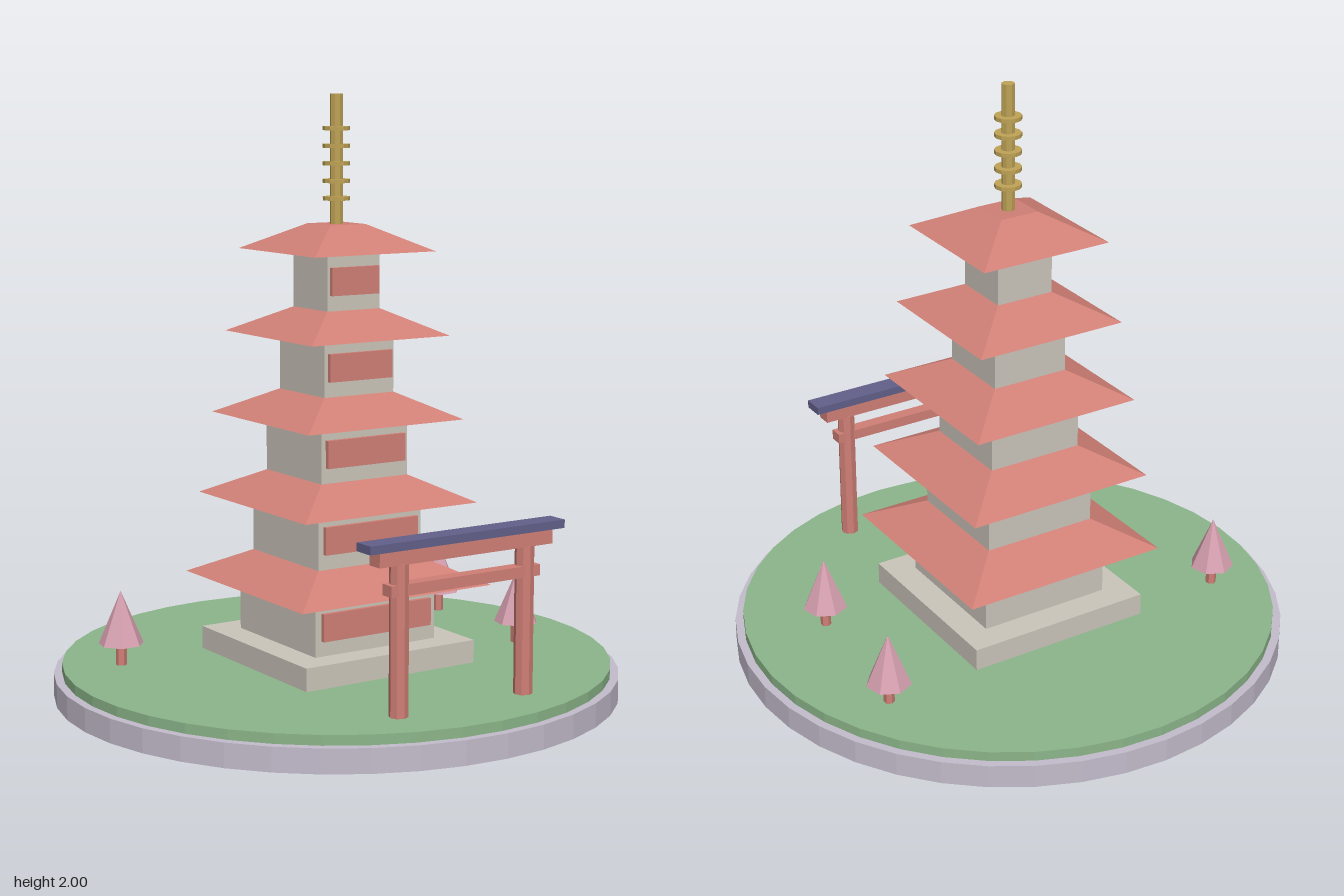
import * as THREE from 'three';

const mat = (name, color) => {
  const m = new THREE.MeshStandardMaterial({ color, flatShading: true });
  m.name = name;
  return m;
};

export function createModel() {
  const stone = mat('lavender stone', 0xc4bccc);
  const grass = mat('grass green', 0x8cb68a);
  const plaster = mat('warm plaster', 0xcbc6bb);
  const red = mat('temple red', 0xd08076);
  const gold = mat('spire gold', 0xbfa356);
  const slate = mat('slate blue', 0x62608a);
  const blossom = mat('blossom pink', 0xd6a0b0);

  const model = new THREE.Group();
  model.name = 'pagodaGarden';

  // All helpers place a part by its bottom height
  const add = (parent, name, geometry, material, x, y, z) => {
    const mesh = new THREE.Mesh(geometry, material);
    mesh.name = name;
    mesh.position.set(x, y, z);
    parent.add(mesh);
    return mesh;
  };
  const box = (parent, name, material, w, h, d, x, y, z) =>
    add(parent, name, new THREE.BoxGeometry(w, h, d), material, x, y + h / 2, z);
  const drum = (parent, name, material, rTop, rBottom, h, sides, x, y, z) =>
    add(parent, name, new THREE.CylinderGeometry(rTop, rBottom, h, sides), material, x, y + h / 2, z);
  const group = (name) => {
    const g = new THREE.Group();
    g.name = name;
    model.add(g);
    return g;
  };

  // Round island
  const ground = 0.113;
  drum(model, 'stoneBase', stone, 0.952, 0.952, 0.08, 40, 0, 0, 0);
  drum(model, 'lawn', grass, 0.924, 0.924, 0.033, 40, 0, 0.08, 0);

  // Pagoda: five shrinking storeys on a plinth
  const pagoda = group('pagoda');
  box(pagoda, 'plinth', plaster, 0.664, 0.077, 0.664, 0, ground, 0);
  for (let i = 0; i < 5; i++) {
    const y = 0.19 + 0.277 * i;
    const wall = 0.236 - 0.0333 * i;
    const eave = 0.371 - 0.034 * i;
    box(pagoda, 'wall', plaster, wall * 2, 0.192, wall * 2, 0, y, 0);
    box(pagoda, 'frontPanel', red, wall * 1.8, 0.092, 0.03, 0, y + 0.051, wall);
    // Four-sided roof, tapering to the width of the next storey
    const roof = drum(pagoda, 'roof', red, (wall - 0.033) * Math.SQRT2, eave * Math.SQRT2, 0.086, 4, 0, y + 0.191, 0);
    roof.rotation.y = Math.PI / 4;
  }

  // Spire with rings
  const spire = group('spire');
  drum(spire, 'spirePole', gold, 0.022, 0.022, 0.43, 8, 0, 1.57, 0);
  for (let i = 0; i < 5; i++) {
    drum(spire, 'spireRing', gold, 0.045, 0.045, 0.013, 12, 0, 1.652 + 0.0573 * i, 0);
  }

  // Gate
  const gate = group('gate');
  const gateZ = 0.715;
  for (const side of [-1, 1]) {
    drum(gate, 'gatePost', red, 0.031, 0.031, 0.482, 8, side * 0.241, ground, gateZ);
  }
  box(gate, 'gateTieBeam', red, 0.57, 0.036, 0.048, 0, 0.495, gateZ);
  box(gate, 'gateLintel', red, 0.662, 0.048, 0.054, 0, 0.593, gateZ);
  box(gate, 'gateCap', slate, 0.744, 0.027, 0.074, 0, 0.64, gateZ);

  // Blossom trees
  for (const [x, z] of [[-0.667, -0.29], [0.667, -0.335], [0.62, 0.19]]) {
    const tree = group('tree');
    drum(tree, 'trunk', red, 0.018, 0.018, 0.075, 6, x, ground, z);
    const crown = add(tree, 'crown', new THREE.ConeGeometry(0.076, 0.18, 7), blossom, x, 0.275, z);
    crown.rotation.y = Math.PI;
  }

  return model;
}
